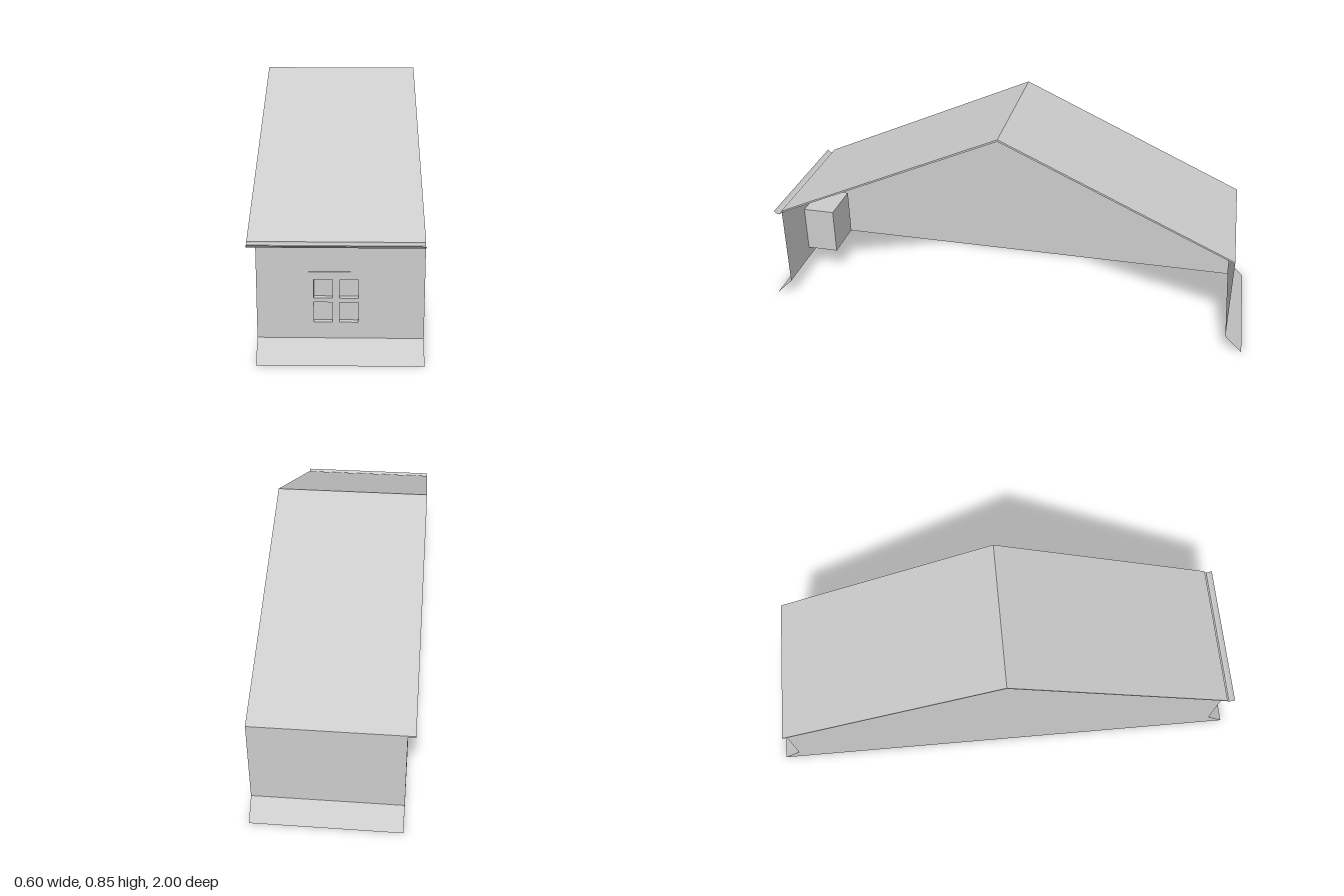
import * as THREE from 'three';

const material = new THREE.MeshStandardMaterial({
  color: 0xcccccc, flatShading: true, side: THREE.DoubleSide,
});

const WALL_LEFT = -0.271, ROOF_LEFT = -0.3, OPEN_END = 0.298;
const WALL_Z = 0.93, PLINTH_Y = 0.07, EAVE_Y = 0.414, RIDGE_Y = 0.837;

function add(group, name, geometry) {
  const mesh = new THREE.Mesh(geometry, material);
  mesh.name = name;
  group.add(mesh);
  return mesh;
}

function polygon(points) {
  return new THREE.Shape(points.map(([x, y]) => new THREE.Vector2(x, y)));
}

function rectangle(x0, y0, x1, y1) {
  return polygon([[x0, y0], [x1, y0], [x1, y1], [x0, y1]]);
}

// Thin sheet: a [z, y] profile swept along x
function sheet(profile, x0, x1) {
  const positions = [];
  for (let i = 0; i < profile.length - 1; i++) {
    const [za, ya] = profile[i], [zb, yb] = profile[i + 1];
    positions.push(x0, ya, za, x1, ya, za, x1, yb, zb);
    positions.push(x0, ya, za, x1, yb, zb, x0, yb, zb);
  }
  const geometry = new THREE.BufferGeometry();
  geometry.setAttribute('position', new THREE.Float32BufferAttribute(positions, 3));
  geometry.computeVertexNormals();
  return geometry;
}

export function createModel() {
  const house = new THREE.Group();
  house.name = 'house';

  // Gable end, including the flared foot; the opposite end stays open
  const gable = new THREE.ShapeGeometry(polygon([
    [1, 0], [WALL_Z, PLINTH_Y], [WALL_Z, EAVE_Y], [0, RIDGE_Y],
    [-WALL_Z, EAVE_Y], [-WALL_Z, PLINTH_Y], [-1, 0],
  ]));
  gable.rotateY(-Math.PI / 2).translate(WALL_LEFT, 0, 0);
  add(house, 'gableWall', gable);

  // Front wall with the window opening
  const win = { x0: -0.094, x1: 0.09, y0: 0.116, y1: 0.313 };
  const front = rectangle(WALL_LEFT, PLINTH_Y, OPEN_END, EAVE_Y);
  front.holes.push(rectangle(win.x0, win.y0, win.x1, win.y1));
  add(house, 'frontWall', new THREE.ShapeGeometry(front)).position.z = WALL_Z;

  // Back wall and the two sloping feet
  add(house, 'backWall', sheet([[-WALL_Z, EAVE_Y], [-WALL_Z, PLINTH_Y]], WALL_LEFT, OPEN_END));
  add(house, 'frontPlinth', sheet([[1, 0], [WALL_Z, PLINTH_Y]], WALL_LEFT, OPEN_END));
  add(house, 'backPlinth', sheet([[-WALL_Z, PLINTH_Y], [-1, 0]], WALL_LEFT, OPEN_END));

  // Window: frame with four panes in front of a deep box
  const win3d = new THREE.Group();
  win3d.name = 'window';
  house.add(win3d);
  const frameDepth = 0.02, windowBack = 0.797, windowFront = WALL_Z + 0.003;
  const frame = rectangle(win.x0, win.y0, win.x1, win.y1);
  for (const [x0, x1] of [[-0.077, -0.013], [0.01, 0.074]]) {
    for (const [y0, y1] of [[0.13, 0.203], [0.218, 0.285]]) {
      frame.holes.push(rectangle(x0, y0, x1, y1));
    }
  }
  add(win3d, 'windowFrame', new THREE.ExtrudeGeometry(frame, { depth: frameDepth, bevelEnabled: false }))
    .position.z = windowFront - frameDepth;
  const boxDepth = windowFront - frameDepth - windowBack;
  add(win3d, 'windowBox', new THREE.BoxGeometry(win.x1 - win.x0, win.y1 - win.y0, boxDepth))
    .position.set((win.x0 + win.x1) / 2, (win.y0 + win.y1) / 2, windowBack + boxDepth / 2);

  // Thin pitched roof
  const roof = new THREE.ExtrudeGeometry(polygon([
    [0.933, 0.42], [0, 0.845], [-0.93, 0.42], [-0.93, 0.413], [0, RIDGE_Y], [0.933, 0.413],
  ]), { depth: OPEN_END - ROOF_LEFT, bevelEnabled: false });
  roof.rotateY(-Math.PI / 2).translate(OPEN_END, 0, 0);
  add(house, 'roof', roof);

  // Rain gutter along the front eave
  add(house, 'gutter', sheet([
    [0.932, 0.416], [0.936, 0.408], [0.943, 0.404], [0.951, 0.405], [0.958, 0.41], [0.965, 0.417],
  ], ROOF_LEFT, OPEN_END));

  return house;
}
